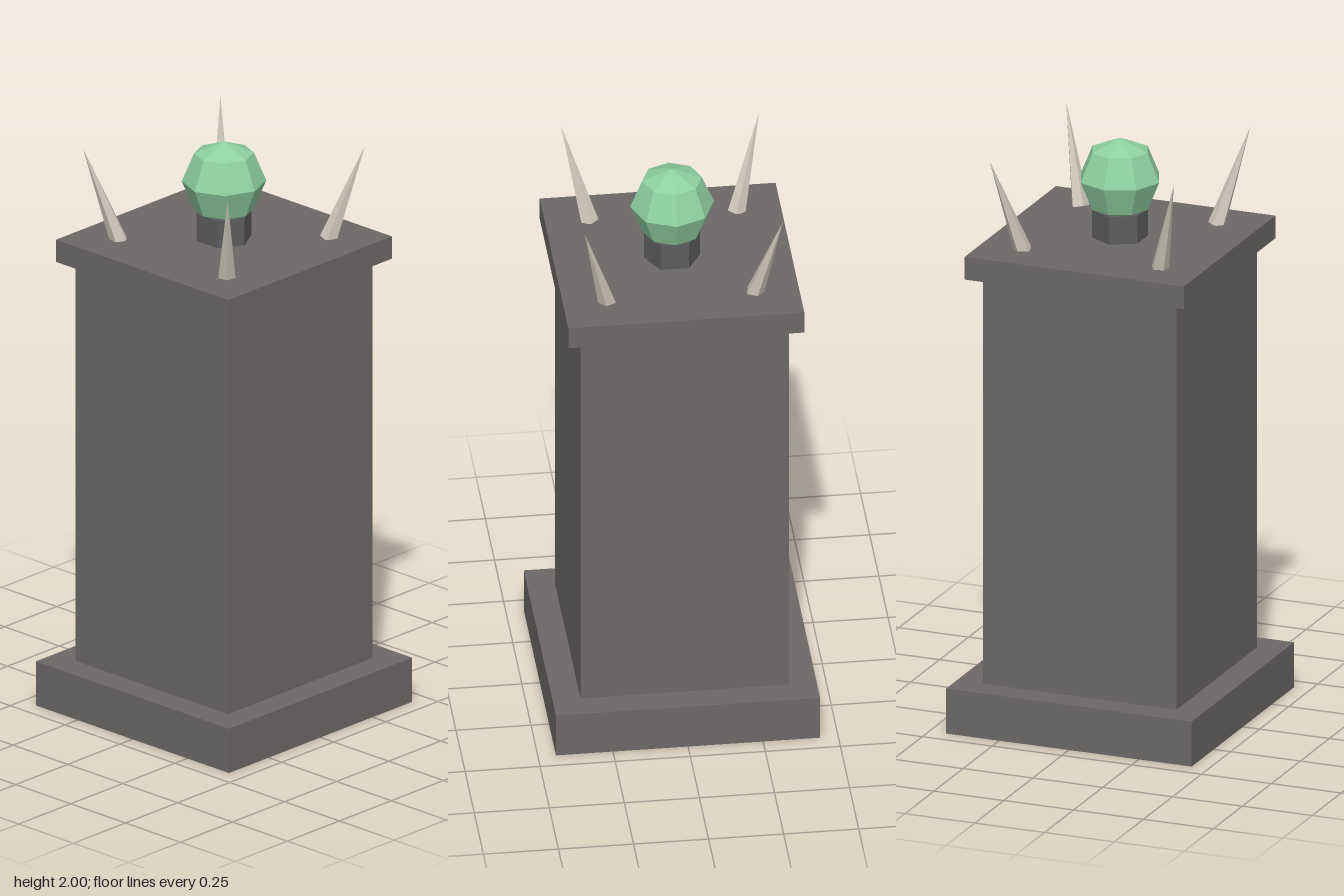
import * as THREE from 'three';

const mat = (name, color) => {
  const m = new THREE.MeshStandardMaterial({ color, flatShading: true });
  m.name = name;
  return m;
};

export function createModel() {
  const stone = mat('stone', 0x6b6867);
  const darkMetal = mat('dark metal', 0x5c5b5d);
  const gemGreen = mat('gem green', 0x8fd0a0);
  const bone = mat('bone', 0xcfc8ba);

  const model = new THREE.Group();
  model.name = 'spikedPedestal';

  const add = (name, geometry, material, x, y, z) => {
    const mesh = new THREE.Mesh(geometry, material);
    mesh.name = name;
    mesh.position.set(x, y, z);
    model.add(mesh);
    return mesh;
  };

  // Square stone blocks: [name, width, bottom, top]
  for (const [name, width, y0, y1] of [
    ['base', 0.88, 0, 0.157],
    ['column', 0.694, 0.157, 1.577],
    ['cap', 0.786, 1.577, 1.656],
  ]) add(name, new THREE.BoxGeometry(width, y1 - y0, width), stone, 0, (y0 + y1) / 2, 0);

  // Hexagonal neck with corners on the x axis
  const neck = new THREE.CylinderGeometry(0.094, 0.094, 0.096, 6).rotateY(Math.PI / 6);
  add('neck', neck, darkMetal, 0, 1.704, 0);

  // Faceted gem
  add('gem', new THREE.SphereGeometry(0.14, 8, 4), gemGreen, 0, 1.86, 0);

  // Four corner spikes, pivoted at their base and leaning outwards
  const spike = new THREE.ConeGeometry(0.031, 0.35, 5).translate(0, 0.175, 0);
  for (const sx of [-1, 1]) {
    for (const sz of [-1, 1]) {
      const mesh = add('cornerSpike', spike, bone, sx * 0.245, 1.651, sz * 0.245);
      mesh.rotation.order = 'YXZ';
      mesh.rotation.set(sz * 0.35, sx * sz * Math.PI / 4, 0);
    }
  }
  return model;
}
